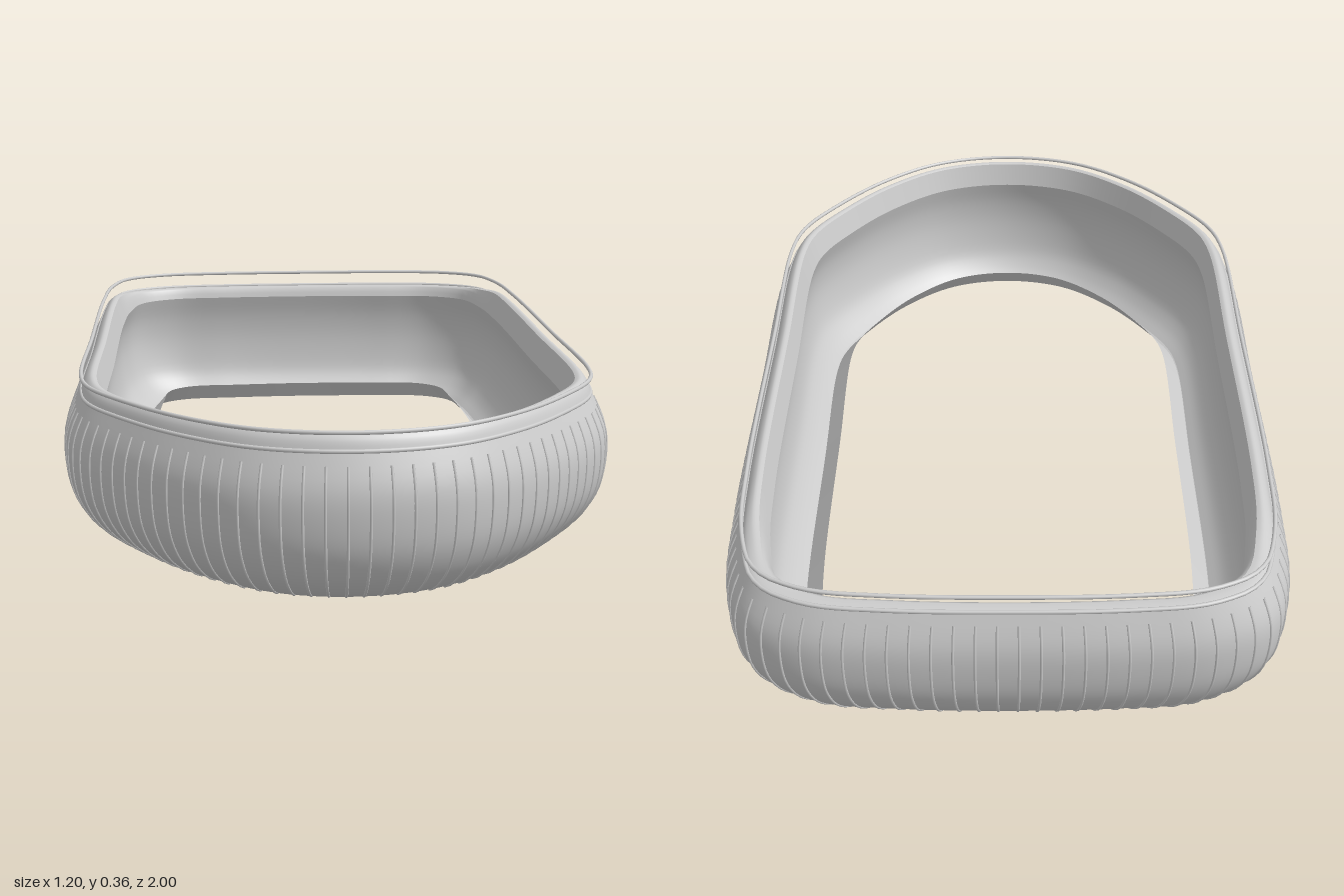
import * as THREE from 'three';

// Matching half outlines in plan, bow to stern: [x, z] at the widest girth and at the floor opening
const OUTER = [[0, .996], [.2, .955], [.36, .84], [.49, .685], [.565, .56], [.591, .44], [.593, 0], [.592, -.55],
  [.577, -.78], [.53, -.905], [.42, -.968], [.25, -.992], [0, -.996]];
const INNER = [[0, .85], [.14, .818], [.265, .71], [.355, .575], [.4, .48], [.415, .4], [.415, 0], [.413, -.48],
  [.402, -.66], [.385, -.785], [.325, -.838], [.2, -.85], [0, -.86]];

function closedCurve(half) {
  const mirrored = half.slice(1, -1).reverse().map(([x, z]) => [-x, z]);
  return new THREE.CatmullRomCurve3([...half, ...mirrored].map(([x, z]) => new THREE.Vector3(x, 0, z)), true, 'centripetal');
}
const outer = closedCurve(OUTER);
const inner = closedCurve(INNER);
outer.arcLengthDivisions = 600;

// Point on the ring: u runs around, inset 0 is the widest girth and 1 the floor opening
function ringPoint(u, inset, y) {
  const t = outer.getUtoTmapping(u);
  return outer.getPoint(t).lerp(inner.getPoint(t), inset).setY(y);
}

const smoothSection = (section, steps) =>
  new THREE.SplineCurve(section.map(([a, b]) => new THREE.Vector2(a, b))).getPoints(steps);

// Loft a section of [inset, y] around the ring; the rim sinks towards the stern
function loft(section, steps, sternDrop = 0) {
  const around = 192;
  const pts = smoothSection(section, steps);
  const pos = [], index = [];
  for (let i = 0; i < around; i++) {
    for (const p of pts) {
      const v = ringPoint(i / around, p.x, p.y);
      if (v.y > .315) v.y -= (v.y - .315) * sternDrop * THREE.MathUtils.smoothstep(-v.z, .55, .95);
      pos.push(v.x, v.y, v.z);
    }
  }
  const n = pts.length;
  for (let i = 0; i < around; i++) {
    for (let j = 0; j < n - 1; j++) {
      const a = i * n + j, b = ((i + 1) % around) * n + j;
      index.push(a, b, a + 1, b, b + 1, a + 1);
    }
  }
  const geo = new THREE.BufferGeometry();
  geo.setAttribute('position', new THREE.Float32BufferAttribute(pos, 3));
  geo.setIndex(index);
  geo.computeVertexNormals();
  return geo;
}

export function createModel() {
  const model = new THREE.Group();
  model.name = 'hullRing';
  const grey = new THREE.MeshStandardMaterial({ color: 0xcccccc, side: THREE.DoubleSide });
  const add = (name, geo, parent = model) => {
    const mesh = new THREE.Mesh(geo, grey);
    mesh.name = name;
    parent.add(mesh);
  };

  // Shell surfaces, in order around the cross-section
  const side = [[.78, 0], [.53, .018], [.25, .06], [.06, .12], [0, .19], [.035, .25], [.2, .315]];
  add('outerHull', loft(side, 24));
  add('rim', loft([[.2, .315], [.25, .337], [.33, .35], [.4, .347]], 10, .9));
  add('collar', loft([[.4, .347], [.5, .29]], 4, .9));
  add('innerWall', loft([[.5, .29], [.39, .23], [.36, .16], [.44, .08], [.6, .035], [.78, .008]], 20));

  // Thin flange rising inwards from the hull's foot to the floor opening
  add('floorFlange', loft([[1, .045], [.78, 0]], 1));

  // Thin ribs half sunk into the outer hull
  const ribs = new THREE.Group();
  ribs.name = 'ribs';
  model.add(ribs);
  const ribLine = smoothSection(side, 14).slice(1, -1);
  const ribCount = 128;
  for (let i = 0; i < ribCount; i++) {
    const pts = ribLine.map((p) => ringPoint((i + .5) / ribCount, p.x, p.y));
    add('rib', new THREE.TubeGeometry(new THREE.CatmullRomCurve3(pts), 16, .003, 6), ribs);
  }

  // Seam cord at the rim's foot and the cord line floating above it
  const cord = (name, y) => {
    const pts = Array.from({ length: 96 }, (_, i) => ringPoint(i / 96, .21, y));
    add(name, new THREE.TubeGeometry(new THREE.CatmullRomCurve3(pts, true), 192, .0045, 8, true));
  };
  cord('seamCord', .318);
  cord('upperCord', .355);
  return model;
}
